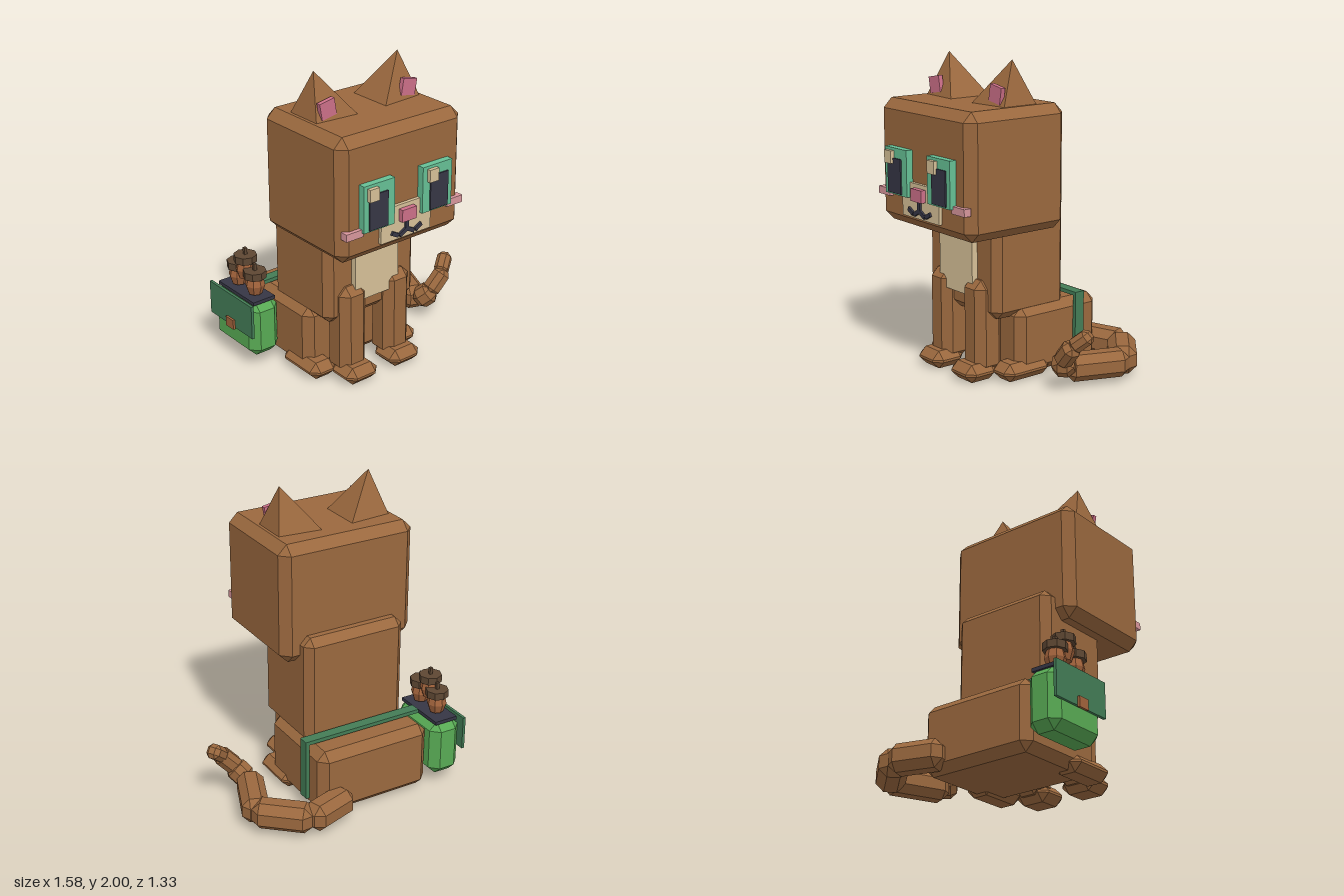
import * as THREE from 'three';
import { ConvexGeometry } from 'three/addons/geometries/ConvexGeometry.js';

const mat = (name, color) => {
  const m = new THREE.MeshStandardMaterial({ color });
  m.name = name;
  return m;
};
const CX = -0.127; // the body's own mirror plane

// Box with chamfered edges and corners, centred on the origin
function chamferBox(w, h, d, c) {
  const pts = [];
  for (const x of [-1, 1]) for (const y of [-1, 1]) for (const z of [-1, 1]) {
    const [a, b, e] = [w / 2, h / 2, d / 2];
    pts.push(new THREE.Vector3(x * a, y * (b - c), z * (e - c)),
      new THREE.Vector3(x * (a - c), y * b, z * (e - c)),
      new THREE.Vector3(x * (a - c), y * (b - c), z * e));
  }
  return new ConvexGeometry(pts);
}

export function createModel() {
  const root = new THREE.Group();
  root.name = 'cat';
  const fur = mat('brown fur', 0x9a683e), cream = mat('cream', 0xd6c097);
  const iris = mat('mint green', 0x66c095), dark = mat('dark slate', 0x363645);
  const strapMat = mat('dark green', 0x437c56), pouchMat = mat('leaf green', 0x58aa54);
  const capMat = mat('dark brown', 0x5e4733), nutMat = mat('nut brown', 0xa2633c);
  const pink = mat('pink', 0xcc6f88), blush = mat('pale pink', 0xd8969c);

  const add = (name, geo, m, x = 0, y = 0, z = 0, parent = root) => {
    const mesh = new THREE.Mesh(geo, m);
    mesh.name = name;
    mesh.position.set(x, y, z);
    parent.add(mesh);
    return mesh;
  };
  // Box given by its limits, chamfered when c > 0
  const box = (name, m, x0, x1, y0, y1, z0, z1, c = 0) => {
    const s = [x1 - x0, y1 - y0, z1 - z0];
    const geo = c ? chamferBox(...s, c) : new THREE.BoxGeometry(...s);
    return add(name, geo, m, (x0 + x1) / 2, (y0 + y1) / 2, (z0 + z1) / 2);
  };
  // The same box on both sides of the body's mirror plane
  const pair = (name, m, x0, x1, ...rest) => [
    box(name + 'Right', m, x0, x1, ...rest),
    box(name + 'Left', m, 2 * CX - x1, 2 * CX - x0, ...rest)];

  // Body
  box('head', fur, -0.6, 0.345, 0.95, 1.73, -0.155, 0.6, 0.06);
  box('torso', fur, -0.483, 0.232, 0.4, 1.13, -0.245, 0.32, 0.05);
  box('rump', fur, -0.527, 0.275, 0.015, 0.46, -0.49, 0.17, 0.055);
  box('bib', cream, -0.295, 0.045, 0.53, 0.96, 0.3, 0.36);
  pair('frontLeg', fur, -0.403, -0.2, 0.04, 0.64, 0.18, 0.385, 0.052);
  pair('frontFoot', fur, -0.423, -0.18, 0, 0.115, 0.24, 0.475, 0.05);
  pair('hindFoot', fur, -0.56, -0.36, 0, 0.115, -0.08, 0.28, 0.05);

  // Ears: leaning pyramids with a tilted pink plate in front
  for (const s of [-1, 1]) {
    const side = s < 0 ? 'Right' : 'Left';
    const pts = [[0.318, 2, 0.16], [0.395, 1.72, 0.03], [0.395, 1.72, 0.285], [0.1, 1.72, 0], [0.1, 1.72, 0.31]]
      .map(([x, y, z]) => new THREE.Vector3(CX + s * x, y, z));
    add('ear' + side, new ConvexGeometry(pts), fur);
    add('innerEar' + side, new THREE.BoxGeometry(0.108, 0.104, 0.03), pink, CX + s * 0.308, 1.8, 0.27)
      .rotation.z = -s * 0.18;
  }

  // Face
  pair('eye', iris, -0.465, -0.235, 1.15, 1.443, 0.59, 0.645);
  pair('pupil', dark, -0.43, -0.29, 1.16, 1.38, 0.62, 0.654);
  box('glintRight', cream, -0.44, -0.37, 1.345, 1.425, 0.63, 0.67);
  box('glintLeft', cream, 0.015, 0.085, 1.345, 1.425, 0.63, 0.67);
  box('muzzle', cream, -0.317, 0.067, 1.028, 1.245, 0.59, 0.622);
  box('nose', pink, -0.182, -0.072, 1.142, 1.22, 0.6, 0.655);
  pair('cheek', blush, -0.577, -0.453, 1.123, 1.17, 0.575, 0.625);
  box('mouthStem', dark, CX - 0.012, CX + 0.012, 1.065, 1.145, 0.61, 0.637);
  for (const s of [-1, 1]) {
    add('mouthInner', new THREE.BoxGeometry(0.06, 0.026, 0.027), dark, CX + s * 0.03, 1.066, 0.623).rotation.z = -s * 0.5;
    add('mouthOuter', new THREE.BoxGeometry(0.055, 0.026, 0.027), dark, CX + s * 0.09, 1.068, 0.623).rotation.z = s * 0.5;
  }

  // Tail: a chain of chamfered bars that curls forward and up
  const tail = new THREE.Group();
  tail.name = 'tail';
  root.add(tail);
  const bones = [
    [0.085, 0.12, -0.485, 0.42, 0.12, -0.59, 0.18], [0.39, 0.12, -0.59, 0.675, 0.12, -0.335, 0.18],
    [0.672, 0.12, -0.375, 0.52, 0.12, 0.01, 0.17], [0.525, 0.115, 0.01, 0.6, 0.21, 0.1, 0.14],
    [0.57, 0.185, 0.08, 0.695, 0.325, 0.095, 0.115], [0.67, 0.305, 0.085, 0.77, 0.4, 0.025, 0.095]];
  bones.forEach(([ax, ay, az, bx, by, bz, w], i) => {
    const a = new THREE.Vector3(ax, ay, az), b = new THREE.Vector3(bx, by, bz);
    const seg = add('tailSegment' + (i + 1), chamferBox(w, w, a.distanceTo(b), w * 0.28), fur,
      (ax + bx) / 2, (ay + by) / 2, (az + bz) / 2, tail);
    seg.lookAt(b);
  });

  // Side bag with flap, button and a strap across the back
  box('pouch', pouchMat, -0.757, -0.538, 0.078, 0.46, -0.53, -0.085, 0.055);
  box('pouchOpening', dark, -0.73, -0.567, 0.45, 0.473, -0.5, -0.112);
  box('pouchFlap', strapMat, -0.773, -0.754, 0.245, 0.47, -0.54, -0.078);
  box('pouchButton', nutMat, -0.788, -0.772, 0.235, 0.3, -0.348, -0.265);
  box('strapTop', strapMat, -0.54, 0.3, 0.475, 0.5, -0.34, -0.27);
  box('strapSide', strapMat, 0.275, 0.3, 0.09, 0.5, -0.34, -0.27);

  // Acorns peeking out of the bag
  for (const [z, y] of [[-0.385, 0.595], [-0.305, 0.668], [-0.205, 0.595]]) {
    const acorn = new THREE.Group();
    acorn.name = 'acorn';
    acorn.position.set(-0.65, y, z);
    root.add(acorn);
    const nut = new THREE.LatheGeometry(
      [[0, -0.13], [0.045, -0.11], [0.065, -0.05], [0.05, 0.01]].map(p => new THREE.Vector2(...p)), 8).toNonIndexed();
    nut.computeVertexNormals();
    add('nut', nut, nutMat, 0, 0, 0, acorn);
    const cap = new THREE.CylinderGeometry(0.075, 0.075, 0.048, 8).toNonIndexed();
    cap.computeVertexNormals();
    add('nutCap', cap, capMat, 0, 0.024, 0, acorn);
    add('nutStem', new THREE.BoxGeometry(0.02, 0.05, 0.02), capMat, 0, 0.068, 0, acorn);
  }
  return root;
}
